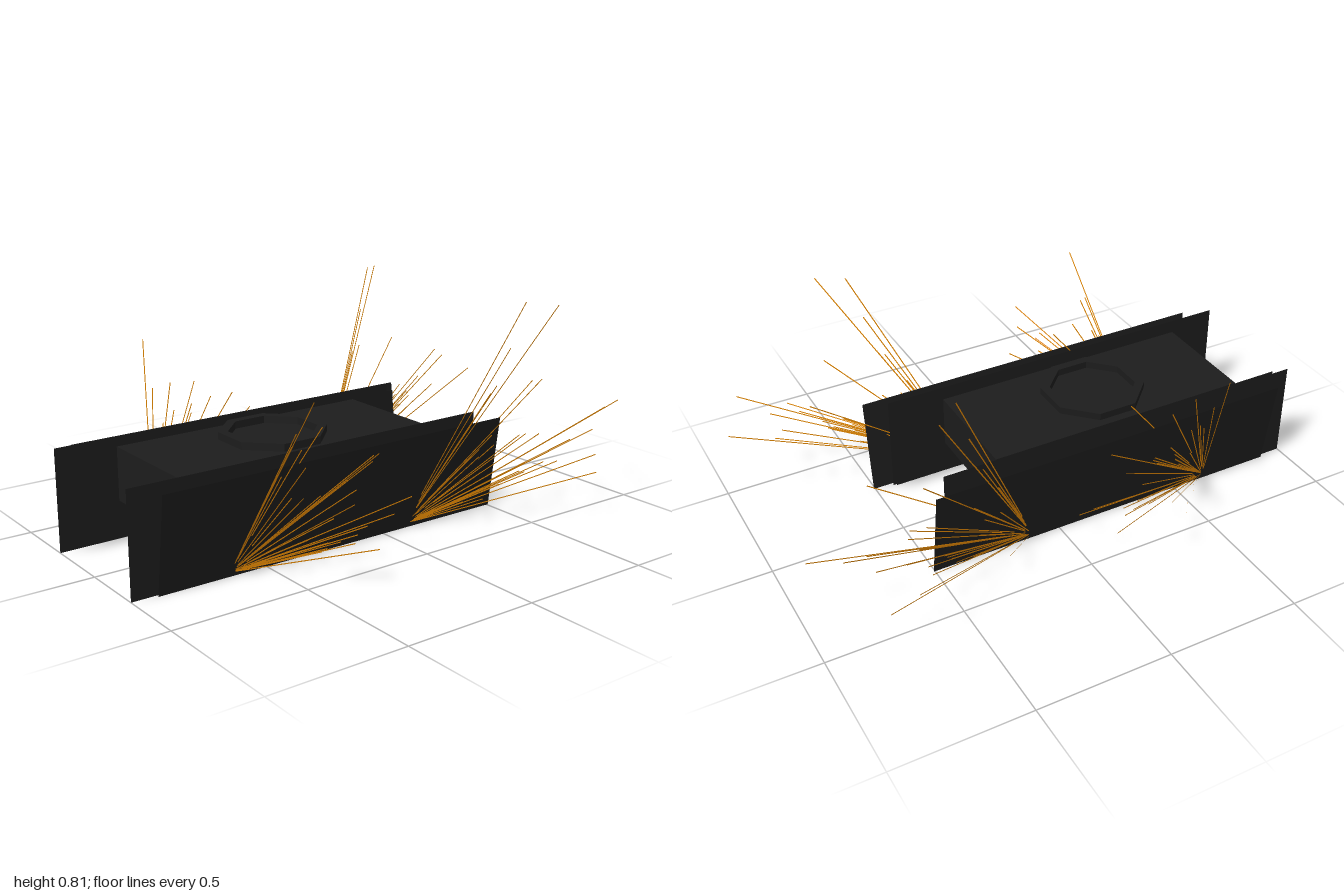
import * as THREE from 'three';

export function createModel() {
  const model = new THREE.Group();
  const mat = (name, color, side = THREE.FrontSide) => {
    const m = new THREE.MeshStandardMaterial({ color, side });
    m.name = name;
    return m;
  };
  const dark = mat('dark body', 0x1c1c1c, THREE.DoubleSide);
  const steel = mat('steel', 0x808080);
  const orange = mat('spark orange', 0xff9900, THREE.DoubleSide);

  const add = (name, geometry, material, x = 0, y = 0, z = 0) => {
    const mesh = new THREE.Mesh(geometry, material);
    mesh.name = name;
    mesh.position.set(x, y, z);
    model.add(mesh);
    return mesh;
  };

  // Body block resting on the axles
  add('body', new THREE.BoxGeometry(0.424, 0.196, 1.016), dark, -0.004, 0.255, 0.281);

  // Octagonal ring on the roof, flat sides square to the body
  const octagon = (Type, r) => new Type(Array.from({ length: 8 }, (_, i) => {
    const a = (i + 0.5) * Math.PI / 4;
    return new THREE.Vector2(r * Math.cos(a), r * Math.sin(a));
  }));
  const ringShape = octagon(THREE.Shape, 0.195);
  ringShape.holes.push(octagon(THREE.Path, 0.16));
  const ring = new THREE.ExtrudeGeometry(ringShape, { depth: 0.03, bevelEnabled: false });
  ring.rotateX(-Math.PI / 2);
  add('roofRing', ring, dark, -0.004, 0.35, 0.288);

  // Axles and tapered wheels
  for (const z of [0.655, -0.093]) {
    const axle = new THREE.CylinderGeometry(0.04, 0.04, 0.45, 24);
    axle.rotateZ(Math.PI / 2);
    add('axle', axle, dark, -0.003, 0.151, z);
    for (const s of [1, -1]) {
      const wheel = new THREE.CylinderGeometry(0.138, 0.145, 0.031, 32);
      wheel.rotateZ(-s * Math.PI / 2);
      add('wheel', wheel, steel, s * 0.2355 - 0.003, 0.152, z);
    }
  }

  // Side skirts: two upright sheets either side of the wheels, one leaning outwards
  const sheet = (z0, z1, y0, y1, xBottom, xTop) => {
    const g = new THREE.PlaneGeometry(z1 - z0, y1 - y0);
    g.rotateY(Math.PI / 2);
    const p = g.attributes.position;
    for (let i = 0; i < p.count; i++) {
      const top = p.getY(i) > 0;
      p.setXYZ(i, top ? xTop : xBottom, top ? y1 : y0, p.getZ(i) + (z0 + z1) / 2);
    }
    g.computeVertexNormals();
    return g;
  };
  const skirts = [
    ['innerSkirt', -0.43, 0.96, 0.025, 0.355, 0.217, 0.217],
    ['uprightSkirt', -0.43, 1.0, 0, 0.375, 0.254, 0.254],
    ['leaningSkirt', -0.505, 0.91, 0, 0.355, 0.267, 0.318],
  ];
  for (const s of [1, -1]) {
    for (const [name, z0, z1, y0, y1, xb, xt] of skirts) {
      const g = sheet(z0, z1, y0, y1, s * xb - 0.004, s * xt - 0.004);
      // Reverse the winding on the right so that its sheets face outwards
      if (s < 0) {
        g.setIndex(Array.from(g.index.array).reverse());
        g.computeVertexNormals();
      }
      add(name, g, dark);
    }
  }

  // Sparks: thin ribbons fanning out behind each wheel's contact point
  const fans = [
    { z: 0.635, tips: [[0.54, 0.63, 0.5], [0.4, 0.49, 0.47], [0.57, 0.43, 0.27], [0.5, 0.38, 0.24],
      [0.38, 0.35, 0.14], [0.45, 0.2, 0.03], [0.43, 0.03, 0.15], [0.36, 0.11, 0.03],
      [0.6, 0.12, 0.3], [0.55, 0.27, 0.35], [0.28, 0.45, 0.28]] },
    { z: -0.11, tips: [[0.45, 0.81, -0.48], [0.52, 0.8, -0.57], [0.39, 0.33, -0.99], [0.52, 0.4, -0.91],
      [0.61, 0.25, -0.7], [0.5, 0.3, -0.8], [0.26, 0.45, -0.72], [0.55, 0.15, -0.78],
      [0.4, 0.51, -0.4], [0.45, 0.2, -0.6], [0.45, 0.12, -0.3]] },
  ];
  const xAxis = new THREE.Vector3(1, 0, 0);
  const ribbon = (from, to) => {
    const along = to.clone().sub(from);
    const length = along.length();
    along.normalize();
    // Broad face turned to the side, edge towards the front
    const across = new THREE.Vector3().crossVectors(along, xAxis).normalize();
    const normal = new THREE.Vector3().crossVectors(across, along);
    const mesh = add('spark', new THREE.PlaneGeometry(0.004, length), orange);
    mesh.quaternion.setFromRotationMatrix(new THREE.Matrix4().makeBasis(across, along, normal));
    mesh.position.copy(from).add(to).multiplyScalar(0.5);
  };
  for (const { z, tips } of fans) {
    for (const s of [1, -1]) {
      const base = new THREE.Vector3(s * 0.258 - 0.004, 0.012, z);
      const ends = tips.map(([x, y, tz]) => new THREE.Vector3(s * x, y, tz));
      ends.forEach((end, i) => {
        ribbon(base, end);
        // Shorter sparks between neighbouring long ones
        const next = ends[(i + 1) % ends.length];
        for (const [blend, reach] of [[0.35, 0.8], [0.7, 0.6]]) {
          ribbon(base, base.clone().lerp(end.clone().lerp(next, blend), reach));
        }
      });
    }
  }
  return model;
}
